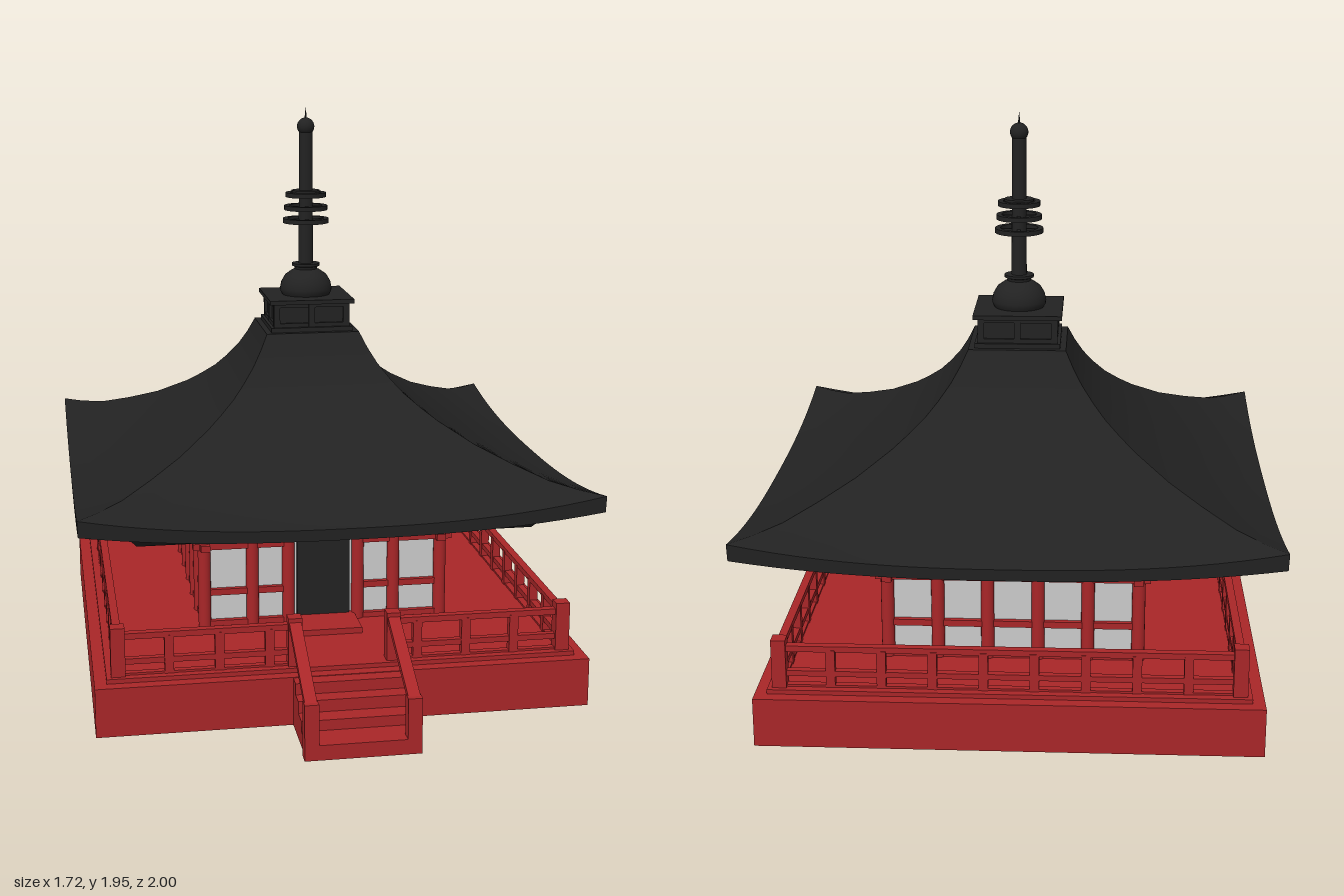
import * as THREE from 'three';
import { toCreasedNormals } from 'three/addons/utils/BufferGeometryUtils.js';

const red = new THREE.MeshStandardMaterial({ color: 0xa92628 });
const black = new THREE.MeshStandardMaterial({ color: 0x222222 });
const blackThin = new THREE.MeshStandardMaterial({ color: 0x222222, side: THREE.DoubleSide });
const grey = new THREE.MeshStandardMaterial({ color: 0xcccccc });

function add(parent, name, geometry, material, x = 0, y = 0, z = 0) {
  const mesh = new THREE.Mesh(geometry, material);
  mesh.name = name;
  mesh.position.set(x, y, z);
  parent.add(mesh);
  return mesh;
}

// Box given by its extents on each axis
function box(parent, name, material, x0, x1, y0, y1, z0, z1) {
  return add(parent, name, new THREE.BoxGeometry(x1 - x0, y1 - y0, z1 - z0), material,
    (x0 + x1) / 2, (y0 + y1) / 2, (z0 + z1) / 2);
}

function group(parent, name, z = 0) {
  const g = new THREE.Group();
  g.name = name;
  g.position.z = z;
  parent.add(g);
  return g;
}

// One of four roof sides: rings of [half width, height at mid-side, lift at the corner]
function roofSide(rings, segments = 24) {
  const pos = [], index = [], row = segments + 1;
  for (const [r, y, lift] of rings) {
    for (let i = 0; i <= segments; i++) {
      const u = (i / segments) * 2 - 1;
      pos.push(u * r, y + lift * Math.abs(u) ** 2.5, r);
    }
  }
  for (let j = 0; j < rings.length - 1; j++) {
    for (let i = 0; i < segments; i++) {
      const a = j * row + i, b = a + row;
      index.push(a, b, a + 1, a + 1, b, b + 1);
    }
  }
  const geo = new THREE.BufferGeometry();
  geo.setAttribute('position', new THREE.Float32BufferAttribute(pos, 3));
  geo.setIndex(index);
  return toCreasedNormals(geo, 0.5);
}

function buildBase(model) {
  const base = group(model, 'base', -0.1);
  box(base, 'plinth', red, -0.82, 0.82, 0, 0.165, -0.82, 0.82);
  box(base, 'deck', red, -0.78, 0.78, 0.16, 0.18, -0.78, 0.78);

  // Railing, one side at a time; the front leaves a gap for the stairs
  for (let side = 0; side < 4; side++) {
    const rail = group(base, 'railing');
    rail.rotation.y = side * Math.PI / 2;
    box(rail, 'cornerPost', red, 0.718, 0.765, 0.17, 0.345, 0.718, 0.765);
    const spans = side === 0 ? [[-0.74, -0.165], [0.165, 0.74]] : [[-0.74, 0.74]];
    for (const [a, b] of spans) {
      box(rail, 'topRail', red, a, b, 0.303, 0.323, 0.728, 0.755);
      box(rail, 'middleRail', red, a, b, 0.217, 0.236, 0.73, 0.753);
      box(rail, 'bottomRail', red, a, b, 0.175, 0.187, 0.73, 0.753);
    }
    for (let i = 1; i < 9; i++) {
      const x = -0.74 + i * 1.48 / 9;
      if (side === 0 && Math.abs(x) < 0.2) continue;
      box(rail, 'baluster', red, x - 0.015, x + 0.015, 0.17, 0.31, 0.727, 0.756);
    }
  }
}

function buildStairs(model) {
  const stairs = group(model, 'stairs');
  [[0.05, 1.0], [0.085, 0.89], [0.125, 0.825], [0.163, 0.77]].forEach(([top, front]) =>
    box(stairs, 'step', red, -0.18, 0.18, 0, top, 0.7, front));
  for (const s of [-1, 1]) {
    const x = s * 0.164;
    box(stairs, 'lowerPost', red, x - 0.023, x + 0.023, 0, 0.185, 0.957, 1);
    box(stairs, 'upperPost', red, x - 0.023, x + 0.023, 0.17, 0.345, 0.618, 0.665);
    // Sloping handrail
    const dz = 0.335, dy = 0.155;
    const hand = add(stairs, 'handrail', new THREE.BoxGeometry(0.04, 0.02, Math.hypot(dz, dy)),
      red, x, 0.252, 0.8125);
    hand.rotation.x = Math.atan2(dy, dz);
  }
}

function buildHall(model) {
  const hall = group(model, 'hall', -0.18);
  box(hall, 'walls', grey, -0.41, 0.41, 0.17, 0.62, -0.41, 0.41);
  box(hall, 'doorstep', red, -0.11, 0.11, 0.175, 0.2, 0.4, 0.58);
  box(hall, 'door', black, -0.093, 0.093, 0.2, 0.5, 0.4, 0.425);
  const column = new THREE.CylinderGeometry(0.022, 0.022, 0.43, 16);
  for (let side = 0; side < 4; side++) {
    const wall = group(hall, 'wallFrame');
    wall.rotation.y = side * Math.PI / 2;
    const inner = side === 0 ? 0.123 : 0.084;
    for (const x of [-0.25, -inner, inner, 0.25, 0.418]) {
      add(wall, 'column', column, red, x, 0.39, 0.418);
    }
    // Cross beams, broken at the doorway
    const spans = side === 0 ? [[-1, -0.123], [0.123, 1]] : [[-1, 1]];
    for (const [a, b] of spans) {
      const fit = (v, end) => THREE.MathUtils.clamp(v, -end, end);
      box(wall, 'upperBeam', red, fit(a, 0.457), fit(b, 0.457), 0.457, 0.48, 0.4, 0.432);
      box(wall, 'lowerBeam', red, fit(a, 0.418), fit(b, 0.418), 0.29, 0.312, 0.4, 0.428);
      box(wall, 'sill', red, fit(a, 0.418), fit(b, 0.418), 0.175, 0.198, 0.4, 0.43);
    }
  }
}

function buildRoof(model) {
  const roof = group(model, 'roof', -0.14);
  const side = roofSide([
    // curved top
    [0.165, 1.165, 0], [0.19, 1.113, 0], [0.22, 1.062, 0], [0.26, 1.01, 0], [0.3, 0.966, 0],
    [0.35, 0.922, 0.002], [0.4, 0.882, 0.005], [0.505, 0.814, 0.011], [0.61, 0.757, 0.023],
    [0.71, 0.708, 0.036], [0.79, 0.679, 0.052], [0.86, 0.66, 0.067],
    // eave edge and stepped underside
    [0.858, 0.622, 0.05], [0.805, 0.618, 0.045], [0.775, 0.597, 0.04], [0.715, 0.597, 0.036],
    [0.665, 0.572, 0], [0.55, 0.576, 0], [0.54, 0.6, 0], [0.38, 0.6, 0],
  ]);
  for (let i = 0; i < 4; i++) {
    add(roof, 'roofSide', side, blackThin).rotation.y = i * Math.PI / 2;
  }
  box(roof, 'roofCap', black, -0.165, 0.165, 1.15, 1.166, -0.165, 0.165);
}

function buildSpire(model) {
  const spire = group(model, 'spire', -0.14);
  // Square pedestal with framed panels
  box(spire, 'pedestalFoot', black, -0.145, 0.145, 1.165, 1.182, -0.145, 0.145);
  box(spire, 'pedestal', black, -0.125, 0.125, 1.18, 1.27, -0.125, 0.125);
  box(spire, 'pedestalTop', black, -0.15, 0.15, 1.265, 1.28, -0.15, 0.15);
  for (let i = 0; i < 4; i++) {
    const frame = group(spire, 'pedestalFrame');
    frame.rotation.y = i * Math.PI / 2;
    for (const x of [-0.124, 0, 0.124]) {
      box(frame, 'frameStile', black, x - 0.011, x + 0.011, 1.18, 1.268, 0.12, 0.135);
    }
    for (const y of [1.182, 1.252]) {
      box(frame, 'frameRail', black, -0.125, 0.125, y, y + 0.014, 0.12, 0.134);
    }
  }
  // Dome and flared collar
  const dome = [[0.082, 1.275], [0.091, 1.29], [0.093, 1.302], [0.088, 1.326], [0.074, 1.35],
    [0.05, 1.367], [0.04, 1.371], [0.042, 1.38], [0.05, 1.383], [0.05, 1.392], [0.001, 1.392]];
  const lathe = (pts) => toCreasedNormals(new THREE.LatheGeometry(
    pts.map(([x, y]) => new THREE.Vector2(x, y)), 32), 0.6);
  add(spire, 'dome', lathe(dome), black);
  add(spire, 'mast', new THREE.CylinderGeometry(0.024, 0.026, 0.49, 20), black, 0, 1.625, 0);
  add(spire, 'ball', new THREE.SphereGeometry(0.031, 20, 14), black, 0, 1.877, 0);
  add(spire, 'spike', new THREE.ConeGeometry(0.006, 0.06, 8), black, 0, 1.917, 0);

  // Open rings held by spokes
  for (const [r, y] of [[0.082, 1.545], [0.077, 1.591], [0.072, 1.637]]) {
    const h = 0.008, w = r - 0.018;
    add(spire, 'ring', lathe([[w, y - h], [r, y - h], [r, y + h], [w, y + h], [w, y - h]]), black);
    for (let i = 0; i < 2; i++) {
      add(spire, 'ringSpoke', new THREE.BoxGeometry(2 * w + 0.01, 0.01, 0.012), black, 0, y, 0)
        .rotation.y = i * Math.PI / 2;
    }
  }
  add(spire, 'ringCap', new THREE.CylinderGeometry(0.05, 0.05, 0.008, 24), black, 0, 1.649, 0);
}

export function createModel() {
  const model = new THREE.Group();
  model.name = 'pagoda';
  buildBase(model);
  buildStairs(model);
  buildHall(model);
  buildRoof(model);
  buildSpire(model);
  return model;
}
